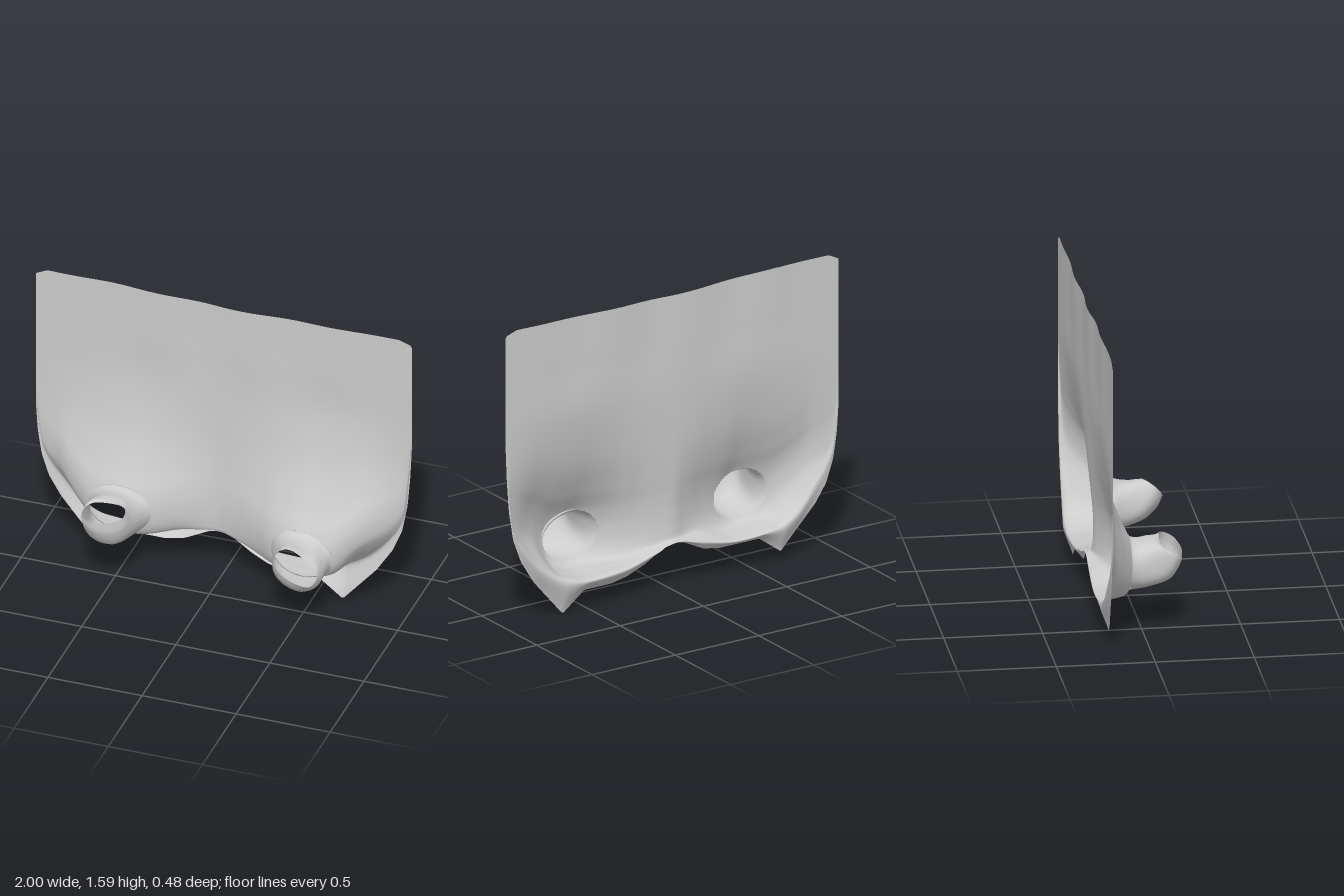
import * as THREE from 'three';

const BACK = -0.215; // depth of the flat upper cloth
const FOLD_T = 8 / 11; // place of the lower fold along each section

// Outline and fold tables: [x, value]
const hemLine = [[-1, 0.8], [-0.99, 0.64], [-0.968, 0.5], [-0.928, 0.38], [-0.865, 0.28], [-0.67, 0.06], [-0.54, 0.155],
  [-0.3, 0.155], [-0.2, 0.175], [-0.08, 0.235], [-0.03, 0.245], [0.04, 0.235], [0.15, 0.165], [0.25, 0.12],
  [0.35, 0.1], [0.51, 0.1], [0.64, 0.0], [0.82, 0.21], [0.9, 0.335], [0.95, 0.46], [0.978, 0.62], [0.992, 0.8], [1, 1]];
const topLine = [[-1, 1.565], [-0.94, 1.595], [-0.6, 1.595], [0, 1.575], [0.5, 1.58], [0.93, 1.585], [0.99, 1.565], [1, 1.55]];
const foldLine = [[-1, 0.82], [-0.96, 0.57], [-0.85, 0.45], [-0.74, 0.32], [-0.63, 0.235], [-0.4, 0.215], [-0.18, 0.26],
  [-0.03, 0.26], [0.1, 0.235], [0.3, 0.195], [0.5, 0.185], [0.62, 0.215], [0.75, 0.35], [0.88, 0.45], [0.96, 0.58], [1, 1.02]];
const tuckLine = [[-1, 0.81], [-0.96, 0.54], [-0.85, 0.37], [-0.74, 0.25], [-0.63, 0.2], [-0.4, 0.185], [-0.18, 0.22],
  [-0.03, 0.25], [0.1, 0.215], [0.3, 0.17], [0.5, 0.16], [0.63, 0.18], [0.75, 0.24], [0.88, 0.38], [0.96, 0.54], [1, 1.01]];
const bulge = [[-1, 0], [-0.9, 0.03], [-0.8, 0.08], [-0.6, 0.165], [-0.48, 0.185], [-0.36, 0.15], [-0.24, 0.11],
  [-0.12, 0.063], [-0.03, 0.037], [0.05, 0.05], [0.2, 0.11], [0.32, 0.18], [0.48, 0.235], [0.6, 0.22], [0.75, 0.145], [0.9, 0.05], [1, 0]];

// Table lookup: straight between points, or eased with a limited cubic
function lookup(table, x, smooth) {
  let i = 0;
  while (i < table.length - 2 && x > table[i + 1][0]) i++;
  const slope = (k) => (table[k + 1][1] - table[k][1]) / (table[k + 1][0] - table[k][0]);
  const [x0, y0] = table[i], [x1, y1] = table[i + 1];
  const h = x1 - x0, t = (x - x0) / h;
  if (!smooth) return y0 + (y1 - y0) * t;
  const tangent = (k) => {
    if (k === 0 || k === table.length - 1) return slope(Math.min(k, table.length - 2));
    const a = slope(k - 1), b = slope(k);
    return a * b <= 0 ? 0 : (2 * a * b) / (a + b);
  };
  const t2 = t * t, t3 = t2 * t;
  return y0 * (2 * t3 - 3 * t2 + 1) + y1 * (3 * t2 - 2 * t3) + h * (tangent(i) * (t3 - 2 * t2 + t) + tangent(i + 1) * (t3 - t2));
}

// Vertical section of the cloth at x: flat, swelling forward, tucked back under, then the hanging hem
function section(x) {
  const top = lookup(topLine, x), hem = lookup(hemLine, x);
  const fold = Math.max(lookup(foldLine, x, true), hem + 0.012);
  const tuck = THREE.MathUtils.clamp(lookup(tuckLine, x, true), hem + 0.005, fold - 0.005);
  const b = lookup(bulge, x, true), drop = Math.max(0.1, 1.05 - fold);
  const wave = 0.006 * Math.sin(13 * x) * (1 - x * x);
  const point = (y, z) => new THREE.Vector3(x, y, BACK + z);
  const at = (k, f) => point(fold + k * drop, f * b);
  return new THREE.CatmullRomCurve3([
    point(top, wave), point((top + fold + drop) / 2, 0.7 * wave),
    at(1, 0.02), at(0.66, 0.26), at(0.45, 0.58), at(0.3, 0.88), at(0.18, 1), at(0.06, 0.93), at(0, 0.72),
    point(fold * 0.5 + tuck * 0.5, 0.32 * b),
    point(tuck, -0.1 * b),
    point(hem, 0.025 * Math.min(1, b * 8)),
  ], false, 'centripetal');
}

// Point on the front of the cloth at a given x and y
function clothPoint(x, y) {
  const curve = section(x);
  let low = 0.1, high = FOLD_T;
  for (let i = 0; i < 16; i++) {
    const mid = (low + high) / 2;
    if (curve.getPoint(mid).y > y) low = mid; else high = mid;
  }
  return curve.getPoint(low);
}

// Grid of points to a smooth surface; skip(centre, t) leaves openings
function surface(rows, skip = () => false) {
  const n = rows[0].length, index = [], c = new THREE.Vector3();
  const points = rows.flat();
  for (let i = 0; i < rows.length - 1; i++) {
    for (let j = 0; j < n - 1; j++) {
      const a = i * n + j, b = a + 1, d = a + n, e = d + 1;
      for (const tri of [[a, b, d], [b, e, d]]) {
        c.set(0, 0, 0);
        tri.forEach((k) => c.addScaledVector(points[k], 1 / 3));
        if (!skip(c, j / (n - 1))) index.push(...tri);
      }
    }
  }
  const geometry = new THREE.BufferGeometry().setFromPoints(points);
  geometry.setIndex(index);
  geometry.computeVertexNormals();
  return geometry;
}

// Sleeve rings: [centre, sideways axis, upward axis]; hole: centre x, y and radii in the cloth
const sleeves = [
  { name: 'rightSleeve', hole: [-0.505, 0.365, 0.16, 0.13], rings: [
    [[-0.5, 0.36, -0.05], [0.14, 0, 0], [0, 0.125, -0.03]],
    [[-0.505, 0.36, 0.0], [0.13, 0, 0], [0, 0.118, -0.035]],
    [[-0.51, 0.385, 0.08], [0.125, 0, 0.005], [0, 0.105, -0.06]],
    [[-0.513, 0.43, 0.128], [0.12, 0, 0], [0, 0.06, -0.065]],
    [[-0.515, 0.457, 0.14], [0.112, 0.014, 0], [0, 0.027, -0.057]]] },
  { name: 'leftSleeve', hole: [0.485, 0.335, 0.16, 0.13], rings: [
    [[0.48, 0.33, -0.01], [0.148, -0.01, -0.02], [0, 0.13, -0.03]],
    [[0.488, 0.325, 0.03], [0.138, -0.02, -0.01], [0.01, 0.118, -0.035]],
    [[0.504, 0.333, 0.1], [0.126, -0.035, 0], [0.015, 0.1, -0.05]],
    [[0.515, 0.36, 0.16], [0.114, -0.052, 0], [0.022, 0.066, -0.055]],
    [[0.52, 0.38, 0.188], [0.105, -0.06, 0.01], [0.028, 0.034, -0.052]]] },
];

// Sleeve flaring out of the edge of its opening
function sleeveGeometry({ hole: [hx, hy, rx, ry], rings }) {
  const sides = 48, steps = 24;
  const track = (k) => new THREE.CatmullRomCurve3(rings.map((r) => new THREE.Vector3(...r[k])));
  const [centre, side, up] = [0, 1, 2].map(track);
  const square = (v) => Math.sign(v) * Math.abs(v) ** 0.85;
  const rows = [];
  for (let i = 0; i <= steps; i++) rows.push([]);
  for (let j = 0; j <= sides; j++) {
    const a = (j / sides) * Math.PI * 2;
    const rim = clothPoint(hx + 1.05 * rx * Math.cos(a), hy + 1.05 * ry * Math.sin(a));
    rim.z += 0.002;
    for (let i = 0; i <= steps; i++) {
      const t = i / steps;
      const crease = 1 + 0.03 * t * Math.sin(3 * a + 1) + 0.015 * Math.sin(5 * a + 4 * t);
      const p = centre.getPoint(t)
        .addScaledVector(side.getPoint(t), square(Math.cos(a)) * crease)
        .addScaledVector(up.getPoint(t), square(Math.sin(a)) * crease);
      rows[i].push(p.lerp(rim, Math.max(0, 1 - t / 0.5) ** 2));
    }
  }
  return surface(rows);
}

export function createModel() {
  const group = new THREE.Group();
  const cloth = new THREE.MeshStandardMaterial({ color: 0xcccccc, side: THREE.DoubleSide });
  const add = (name, geometry) => {
    const mesh = new THREE.Mesh(geometry, cloth);
    mesh.name = name;
    group.add(mesh);
  };

  // Draped sheet with an opening behind each sleeve
  const columns = 200, steps = 154, rows = [];
  for (let i = 0; i <= columns; i++) {
    const u = (i / columns) * 2 - 1;
    rows.push(section(0.45 * u + 0.55 * Math.sin(u * Math.PI / 2)).getPoints(steps));
  }
  const inOpening = (p, t) => t < FOLD_T + 0.01 && sleeves.some(({ hole: [x, y, rx, ry] }) =>
    ((p.x - x) / rx) ** 2 + ((p.y - y) / ry) ** 2 < 1);
  add('drapedSheet', surface(rows, inOpening));

  // Short sleeves pushed out of the front
  for (const sleeve of sleeves) add(sleeve.name, sleeveGeometry(sleeve));
  return group;
}
